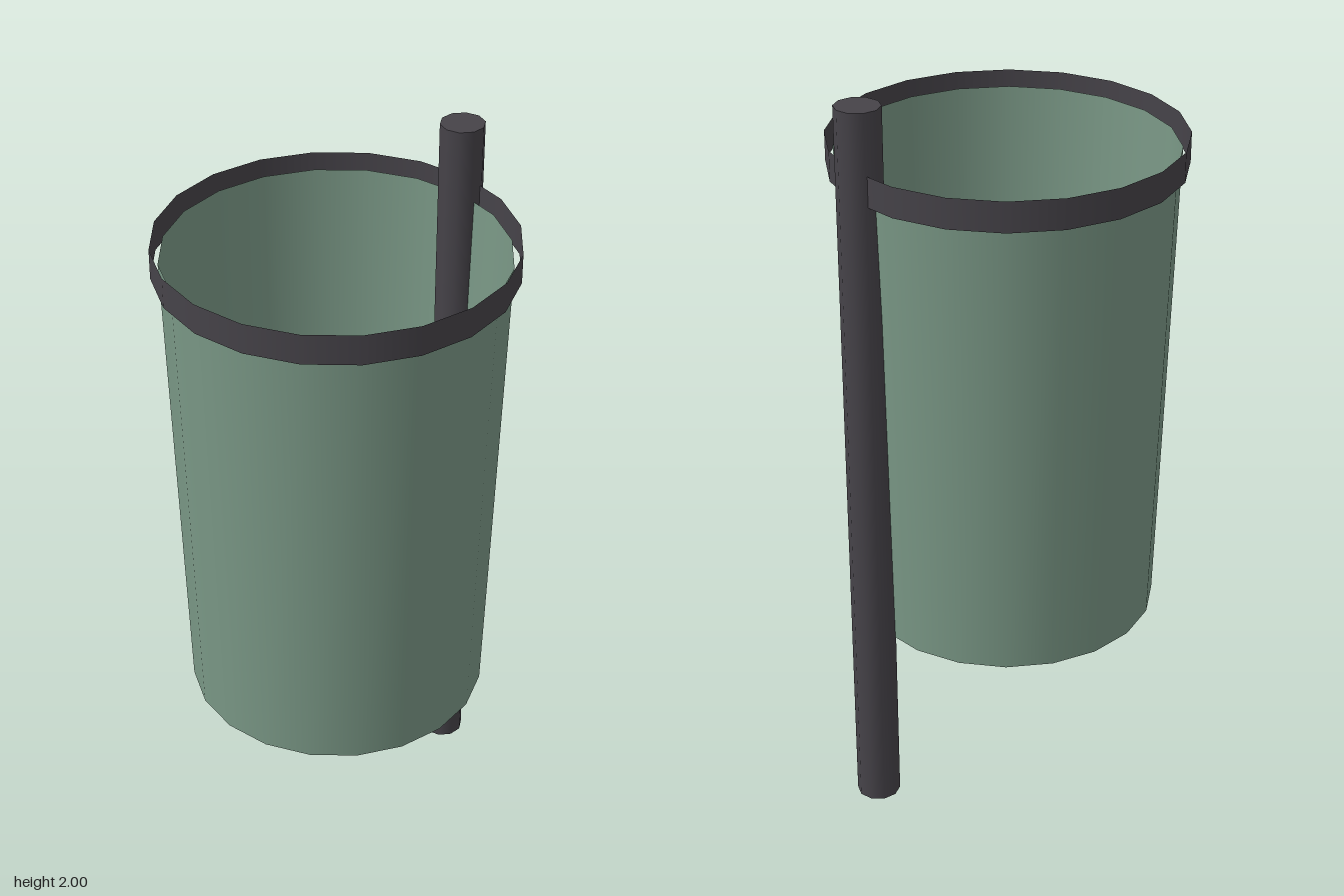
import * as THREE from 'three';

export function createModel() {
  const group = new THREE.Group();
  const green = new THREE.MeshStandardMaterial({ color: 0x7a9886, side: THREE.DoubleSide });
  green.name = 'green';
  const darkGrey = new THREE.MeshStandardMaterial({ color: 0x464349, side: THREE.DoubleSide });
  darkGrey.name = 'dark grey';

  const add = (name, geometry, material, y, z) => {
    const mesh = new THREE.Mesh(geometry, material);
    mesh.name = name;
    mesh.position.set(0, y, z);
    group.add(mesh);
  };

  const binZ = 0.018, sides = 20;
  const bottomRadius = 0.4, topRadius = 0.439, bottomY = 0.5, topY = 1.8;

  // Tapered open bin wall
  add('binWall', new THREE.CylinderGeometry(topRadius, bottomRadius, topY - bottomY, sides, 1, true),
    green, (topY + bottomY) / 2, binZ);

  // Bin floor, turned so its corners meet the wall
  const floor = new THREE.CircleGeometry(bottomRadius, sides).rotateX(-Math.PI / 2);
  add('binFloor', floor, green, bottomY, binZ);

  // Thin upright band around the rim, standing slightly clear of the wall
  add('rimBand', new THREE.CylinderGeometry(0.459, 0.459, 0.08, sides, 1, true), darkGrey, topY, binZ);

  // Post behind the bin
  add('post', new THREE.CylinderGeometry(0.0585, 0.0585, 2, 10), darkGrey, 1, -0.42);

  return group;
}
